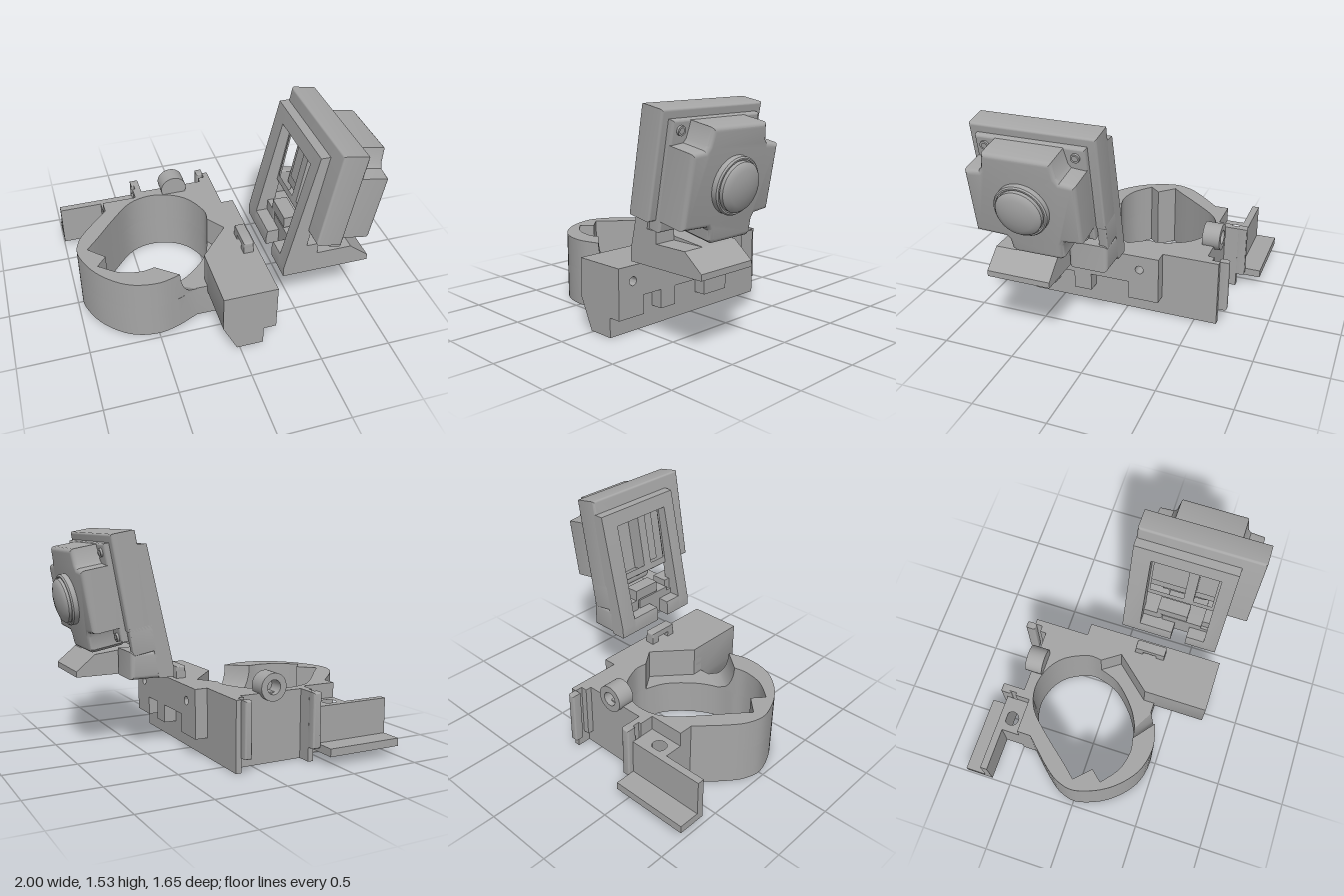
import * as THREE from 'three';
import { toCreasedNormals } from 'three/addons/utils/BufferGeometryUtils.js';

const grey = new THREE.MeshStandardMaterial({ color: 0xa6a6a6 });
grey.name = 'matte grey';

const mesh = (name, geo, parent) => {
  const m = new THREE.Mesh(toCreasedNormals(geo, 0.55), grey);
  m.name = name;
  parent.add(m);
  return m;
};
const vecs = (pts, sx = 1, sy = 1) => pts.map(([a, b]) => new THREE.Vector2(a * sx, b * sy));
const curve = (pts, n = 32) => new THREE.SplineCurve(vecs(pts)).getPoints(n).map((p) => [p.x, p.y]);
const circle = (x, y, r, n = 24) =>
  Array.from({ length: n }, (_, i) => [x + r * Math.cos((i * 2 * Math.PI) / n), y + r * Math.sin((i * 2 * Math.PI) / n)]);

// Extrusion between two heights, with optional rounded edges
function extrude(pts, from, to, { holes = [], bevel = 0, sx = 1, sy = 1, steps = 1 } = {}) {
  const shape = new THREE.Shape(vecs(pts, sx, sy));
  shape.holes = holes.map((h) => new THREE.Path(vecs(h, sx, sy)));
  return new THREE.ExtrudeGeometry(shape, {
    depth: to - from - 2 * bevel, steps, bevelEnabled: bevel > 0, bevelSize: bevel,
    bevelThickness: bevel, bevelOffset: -bevel, bevelSegments: 4,
  }).translate(0, 0, from + bevel);
}
// Profile (x, y) swept along z
const alongZ = (pts, z0, z1, o) => extrude(pts, z0, z1, o);
// Plan (x, z) raised along y
const alongY = (pts, y0, y1, o = {}) => extrude(pts, y0, y1, { ...o, sy: -1 }).rotateX(-Math.PI / 2);
// Profile (z, y) swept along x
const alongX = (pts, x0, x1, o = {}) => extrude(pts, x0, x1, { ...o, sx: -1 }).rotateY(Math.PI / 2);
const rect = (a0, a1, b0, b1) => [[a0, b0], [a1, b0], [a1, b1], [a0, b1]];
const box = (x0, x1, y0, y1, z0, z1, bevel = 0) => alongZ(rect(x0, x1, y0, y1), z0, z1, { bevel });

function buildClamp() {
  const g = new THREE.Group();
  g.name = 'ringClamp';
  const TOP = 0.48, SHELF = 0.26;

  // Plan curves: outer wall, bore with its locating notch
  const outer = curve([[-0.33, 0.42], [-0.5, 0.46], [-0.7, 0.41], [-0.87, 0.25], [-0.96, 0.04],
    [-0.94, -0.1], [-0.86, -0.22], [-0.69, -0.4]]);
  const boreBack = curve([[0.01, -0.1], [0.015, -0.2], [-0.06, -0.36], [-0.18, -0.455], [-0.34, -0.49],
    [-0.5, -0.44], [-0.65, -0.29], [-0.8, -0.11], [-0.89, -0.01]]);
  const boreLeft = curve([[-0.85, 0.18], [-0.72, 0.28], [-0.58, 0.315], [-0.48, 0.3]], 14);
  const boreFront = curve([[-0.48, 0.3], [-0.35, 0.28], [-0.2, 0.2], [-0.05, 0.05], [0.01, -0.1]], 16).slice(1, -1);
  const bore = [...boreBack, [-0.78, 0.1], ...boreLeft];
  const back = [[-0.69, -0.5], [-0.44, -0.5], [-0.44, -0.56], [0.17, -0.56], [0.17, 0.36]];

  mesh('lowerRing', alongY([...outer, ...back, [-0.2, 0.36]], 0, SHELF, { holes: [[...bore, ...boreFront]] }), g);

  // Upper ring is open at the front; its end sweeps down into the shelf
  const upper = alongY([...outer, ...back, [-0.12, 0.36], [-0.12, 0.28], [0.1, 0.03], ...bore], SHELF, TOP, { steps: 8 });
  const p = upper.attributes.position;
  for (let i = 0; i < p.count; i++) {
    const x = p.getX(i), z = p.getZ(i);
    const near = Math.hypot(x + 0.33, z - 0.42) < 0.005 ? 0.055 : Math.hypot(x + 0.48, z - 0.3) < 0.005 ? 0.02 : 0;
    if (!near) continue;
    const t = 1 - (p.getY(i) - SHELF) / (TOP - SHELF);
    const s = 1 - Math.sqrt(Math.max(0, 1 - t * t));
    p.setX(i, x + 0.13 * s);
    p.setZ(i, z - near * s);
  }
  mesh('upperRing', upper, g);

  // Front block with chamfered underside
  mesh('frontBlock', alongZ([[-0.12, TOP], [-0.12, 0.21], [-0.02, 0], [0.17, 0], [0.17, TOP]], 0.3, 0.74), g);

  // Castellated side rail with two screw holes
  mesh('sideRail', alongX([[0.74, TOP], [0.74, 0.135], [0.53, 0.135], [0.53, 0.265], [0.375, 0.265], [0.375, 0.135],
    [0.245, 0.135], [0.245, 0.265], [-0.04, 0.265], [-0.04, 0.135], [-0.26, 0.135], [-0.26, TOP]],
  0.17, 0.26, { holes: [circle(0.62, 0.375, 0.03), circle(-0.12, 0.375, 0.03)] }), g);

  // Cable loop on top
  for (const z of [0.12, 0.28]) mesh('loopLeg', box(0.15, 0.22, TOP - 0.02, 0.53, z, z + 0.06), g);
  mesh('loopBar', box(0.15, 0.22, 0.52, 0.565, 0.12, 0.34, 0.01), g);

  // Hooked tabs on the rear wall
  for (const [x0, x1, l0, l1] of [[-0.42, -0.38, -0.44, -0.38], [0.13, 0.17, 0.085, 0.135]]) {
    mesh('rearTab', box(x0, x1, 0, TOP, -0.66, -0.55), g);
    mesh('rearTabLip', box(l0, l1, 0.1, TOP, -0.72, -0.65, 0.012), g);
    mesh('rearTabFoot', box(l0, x1, 0.1, TOP, -0.605, -0.55), g);
  }

  // Pivot boss, open to the rear
  mesh('pivotBoss', alongZ(circle(-0.145, 0.52, 0.095, 40), -0.6, -0.49, { holes: [circle(-0.145, 0.52, 0.05)] }), g);
  mesh('pivotBossCap', alongZ(circle(-0.145, 0.52, 0.095, 40), -0.49, -0.475), g);

  // Angle bracket and its drilled platform
  mesh('bracketWall', box(-1, -0.44, 0.07, 0.375, -0.68, -0.63), g);
  mesh('bracketFlange', box(-1, -0.44, 0.07, 0.125, -0.83, -0.63), g);
  mesh('bracketPlatform', alongY(rect(-0.69, -0.44, -0.64, -0.49), 0.07, 0.375, { holes: [circle(-0.59, -0.59, 0.05)] }), g);
  return g;
}

function buildMount() {
  const g = new THREE.Group();
  g.name = 'tiltedMount';

  // Leaning back frame
  const rear = (y) => 0.31 + 0.19 * Math.max(0, (y - 0.6) / 0.84);
  const slab = (y0, y1, z0, z1) => {
    const mid = y0 < 0.6 && y1 > 0.6 ? [[rear(0.6), 0.6]] : [];
    return alongZ([[rear(y0), y0], ...mid, [rear(y1), y1], [0.42 + 0.177 * (y1 - 0.53), y1], [0.42 + 0.177 * (y0 - 0.53), y0]], z0, z1);
  };
  mesh('frameRailRear', slab(0.53, 1.44, -0.03, 0.1), g);
  mesh('frameRailFront', slab(0.53, 1.44, 0.58, 0.68), g);
  mesh('frameTop', slab(1.34, 1.44, 0.1, 0.58), g);
  mesh('frameSill', slab(0.53, 0.64, 0.1, 0.34), g);
  mesh('frameSillFront', slab(0.53, 0.64, 0.45, 0.58), g);
  mesh('latch', box(0.4, 0.5, 0.72, 0.8, 0.2, 0.42), g);

  // Sloping foot on a drilled sole plate
  mesh('footSole', alongY(rect(0.4, 0.915, 0.24, 0.68), 0.53, 0.57, { holes: [circle(0.8, 0.59, 0.025), circle(0.8, 0.33, 0.025)] }), g);
  mesh('footWedge', alongZ([[0.4, 0.57], [0.915, 0.57], [0.78, 0.68], [0.5, 0.71], [0.4, 0.71]], 0.24, 0.53), g);
  mesh('footWedgeSide', alongZ([[0.4, 0.57], [0.915, 0.57], [0.78, 0.68], [0.4, 0.68]], 0.53, 0.68), g);
  mesh('footCorner', box(0.4, 0.62, 0.53, 0.72, -0.03, 0.24, 0.03), g);
  mesh('footStrut', box(0.42, 0.54, 0.6, 0.76, 0.53, 0.68), g);

  // Tilted housing, local x pointing out through the lens
  const h = new THREE.Group();
  h.name = 'cameraHousing';
  h.position.set(0.46, 0.88, 0);
  h.rotation.z = -0.18;
  g.add(h);
  mesh('housingFrame', alongX(rect(-0.03, 0.825, 0, 0.665), 0, 0.175, { bevel: 0.016, holes: [rect(0.1, 0.58, 0.04, 0.5)] }), h);
  mesh('housingPanel', box(0.11, 0.165, 0.02, 0.52, 0.08, 0.6), h);
  mesh('housingRib', box(0.0, 0.12, 0.02, 0.52, 0.36, 0.43), h);
  mesh('housingSkirt', box(0.0, 0.17, -0.16, 0.03, -0.03, 0.03, 0.008), h);
  mesh('cameraBack', alongX(rect(0.03, 0.77, -0.06, 0.61), 0.12, 0.215, { bevel: 0.015 }), h);

  // Cross-shaped camera body with cut corners
  mesh('cameraBody', alongX([[0.63, 0.605], [0.17, 0.605], [0.15, 0.5], [0.13, 0.475], [0.03, 0.465], [0.03, 0.04], [0.15, 0.03],
    [0.165, 0], [0.165, -0.09], [0.19, -0.11], [0.5, -0.11], [0.53, -0.09], [0.54, -0.02], [0.56, 0], [0.77, 0.01], [0.77, 0.465],
    [0.67, 0.475], [0.65, 0.5]], 0.14, 0.4, { bevel: 0.03 }), h);
  for (const [z, v] of [[0.705, 0.55], [0.095, 0.55], [0.095, -0.03]])
    mesh('cornerScrew', alongX(circle(z, v, 0.03), 0.2, 0.23, { holes: [circle(z, v, 0.017)] }), h);

  // Lens barrel and domed glass
  const lens = new THREE.LatheGeometry(vecs([[0.18, 0.37], [0.18, 0.435], [0.172, 0.445], [0.162, 0.445], [0.162, 0.435],
    [0.155, 0.435], [0.155, 0.462], [0.145, 0.473], [0.11, 0.486], [0.06, 0.496], [0, 0.5]]), 48);
  mesh('lens', lens.rotateZ(-Math.PI / 2).translate(0, 0.25, 0.4), h);
  return g;
}

export function createModel() {
  const model = new THREE.Group();
  model.name = 'cameraClamp';
  model.add(buildClamp(), buildMount());
  return model;
}
